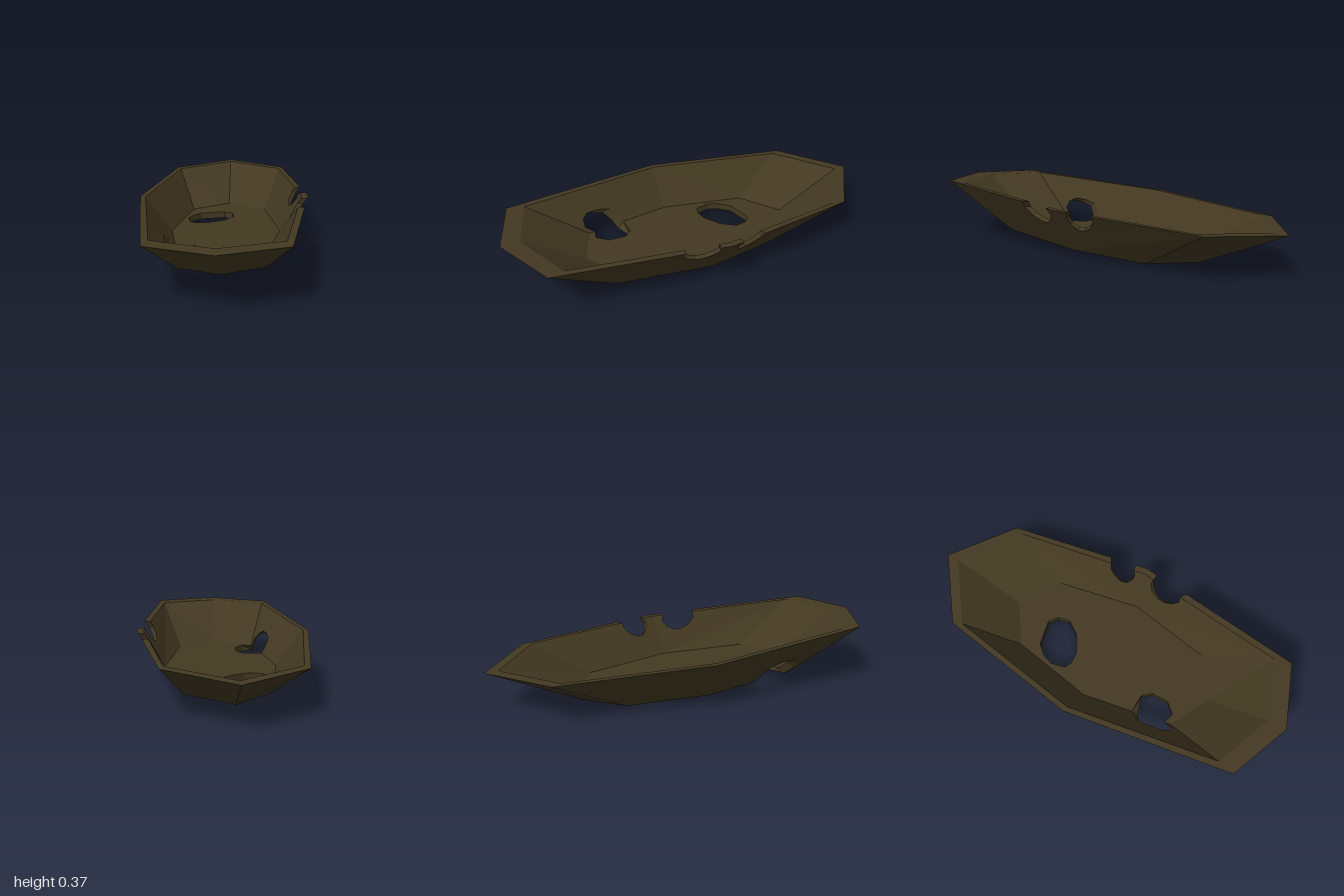
import * as THREE from 'three';

// plan corners (x, z) of the eight-sided tray, listed in the same order round the tray
const rimOuter = [[0.39, -1], [0.885, -0.955], [0.968, -0.47], [0.45, 0.3], [-0.4, 0.998], [-0.79, 0.84], [-0.972, 0.46], [-0.355, -0.43]];
const rimInner = [[0.37, -0.94], [0.83, -0.895], [0.91, -0.44], [0.415, 0.275], [-0.35, 0.905], [-0.71, 0.75], [-0.88, 0.4], [-0.335, -0.4]];
const baseOuter = [[0.175, -0.555], [0.48, -0.56], [0.55, -0.22], [0.29, 0.185], [-0.185, 0.58], [-0.46, 0.495], [-0.575, 0.245], [-0.23, -0.255]];
const baseInner = [[0.23, -0.61], [0.53, -0.565], [0.6, -0.26], [0.3, 0.2], [-0.14, 0.52], [-0.44, 0.475], [-0.54, 0.21], [-0.215, -0.28]];

// gaps in (u, v): u runs along a wall, v runs from the floor up to the rim
const rimGaps = {
  2: [[0.73, 1], [0.72, 0.85], [0.74, 0.7], [0.79, 0.59], [0.85, 0.59], [0.9, 0.7], [0.92, 0.85], [0.91, 1]],
  3: [[0.07, 1], [0.06, 0.85], [0.09, 0.69], [0.15, 0.59], [0.21, 0.59], [0.27, 0.69], [0.3, 0.85], [0.28, 1]],
};
// this gap cuts the foot of wall 6 and runs on into the floor
const footGap = [[0.07, 0], [0.06, 0.15], [0.15, 0.33], [0.25, 0.45], [0.36, 0.45], [0.45, 0.38], [0.46, 0.2], [0.44, 0]];
const floorGap = [[-0.48, 0.24], [-0.39, 0.23], [-0.315, 0.15], [-0.31, 0.08]];
const floorHole = [[0, -0.36], [0.05, -0.443], [0.11, -0.475], [0.2, -0.485], [0.345, -0.4], [0.355, -0.33], [0.31, -0.26], [0.2, -0.237], [0.08, -0.265], [0.02, -0.31]];

// the whole tray leans along one slope; depth is measured below the rim
const lift = ([x, z], depth) => new THREE.Vector3(x, 0.314 - 0.0264 * x + 0.0473 * z - depth, z);
const OUT = 0.274, IN = 0.23;
const mix = (a, b, t) => [a[0] + (b[0] - a[0]) * t, a[1] + (b[1] - a[1]) * t];

const material = new THREE.MeshStandardMaterial({ color: 0x433922, flatShading: true, side: THREE.DoubleSide });

// Thick panel: each loop item is { o: outer point, i: inner point, cap: close the edge that starts here }
function panel(name, contour, holes = []) {
  const pos = [];
  const tri = (a, b, c) => pos.push(...a.toArray(), ...b.toArray(), ...c.toArray());
  const plan = (loop, side) => loop.map(k => new THREE.Vector2(k[side].x, k[side].z));
  const all = [contour, ...holes].flat();
  // outer skin faces down, inner skin faces up
  for (const side of ['o', 'i']) {
    const faces = THREE.ShapeUtils.triangulateShape(plan(contour, side), holes.map(h => plan(h, side)));
    for (const f of faces) {
      const [a, b, c] = f.map(n => all[n][side]);
      const down = (b.x - a.x) * (c.z - a.z) - (b.z - a.z) * (c.x - a.x) > 0;
      if (down === (side === 'o')) tri(a, b, c);
      else tri(a, c, b);
    }
  }
  // rim and cut edges join the two skins
  [contour, ...holes].forEach((loop, n) => {
    const flip = (THREE.ShapeUtils.area(plan(loop, 'o')) < 0) !== (n > 0);
    loop.forEach((k, j) => {
      if (!k.cap) return;
      let a = k, b = loop[(j + 1) % loop.length];
      if (flip) [a, b] = [b, a];
      tri(a.o, b.i, b.o);
      tri(a.o, a.i, b.i);
    });
  });
  const geometry = new THREE.BufferGeometry();
  geometry.setAttribute('position', new THREE.Float32BufferAttribute(pos, 3));
  geometry.computeVertexNormals();
  const mesh = new THREE.Mesh(geometry, material);
  mesh.name = name;
  return mesh;
}

// One sloping wall between corners n and n + 1
function wall(n) {
  const m = (n + 1) % 8;
  const foot = n === 6 ? footGap : [];
  const top = [...(rimGaps[n] || [])].reverse();
  const uv = [[0, 0], ...foot, [1, 0], [1, 1], ...top, [0, 1]];
  const at = (base, rim, depth, [u, v]) =>
    lift(mix(mix(base[n], base[m], u), mix(rim[n], rim[m], u), v), depth * (1 - v));
  const loop = uv.map((p, j) => {
    const q = uv[(j + 1) % uv.length];
    // neighbouring panels meet here, except across the foot gap, where the loop leaves v = 0
    const seam = (p[1] === 0 && q[1] === 0) || (p[0] === q[0] && p[0] % 1 === 0);
    return { o: at(baseOuter, rimOuter, OUT, p), i: at(baseInner, rimInner, IN, p), cap: !seam };
  });
  return panel('wall' + (n + 1), loop);
}

// Floor with one round hole and a gap that runs on into a wall
function floor() {
  const point = (a, b, cap) => ({ o: lift(a, OUT), i: lift(b, IN), cap });
  const onEdge = (u, cap) => point(mix(baseOuter[6], baseOuter[7], u), mix(baseInner[6], baseInner[7], u), cap);
  const loop = baseOuter.map((p, n) => point(p, baseInner[n], false));
  loop.splice(7, 0, onEdge(0.07, true), ...floorGap.map(p => point(p, p, true)), onEdge(0.44, false));
  return panel('floor', loop, [floorHole.map(p => point(p, p, true))]);
}

export function createModel() {
  const group = new THREE.Group();
  group.name = 'brokenTray';
  group.add(floor());
  for (let n = 0; n < 8; n++) group.add(wall(n));
  return group;
}
